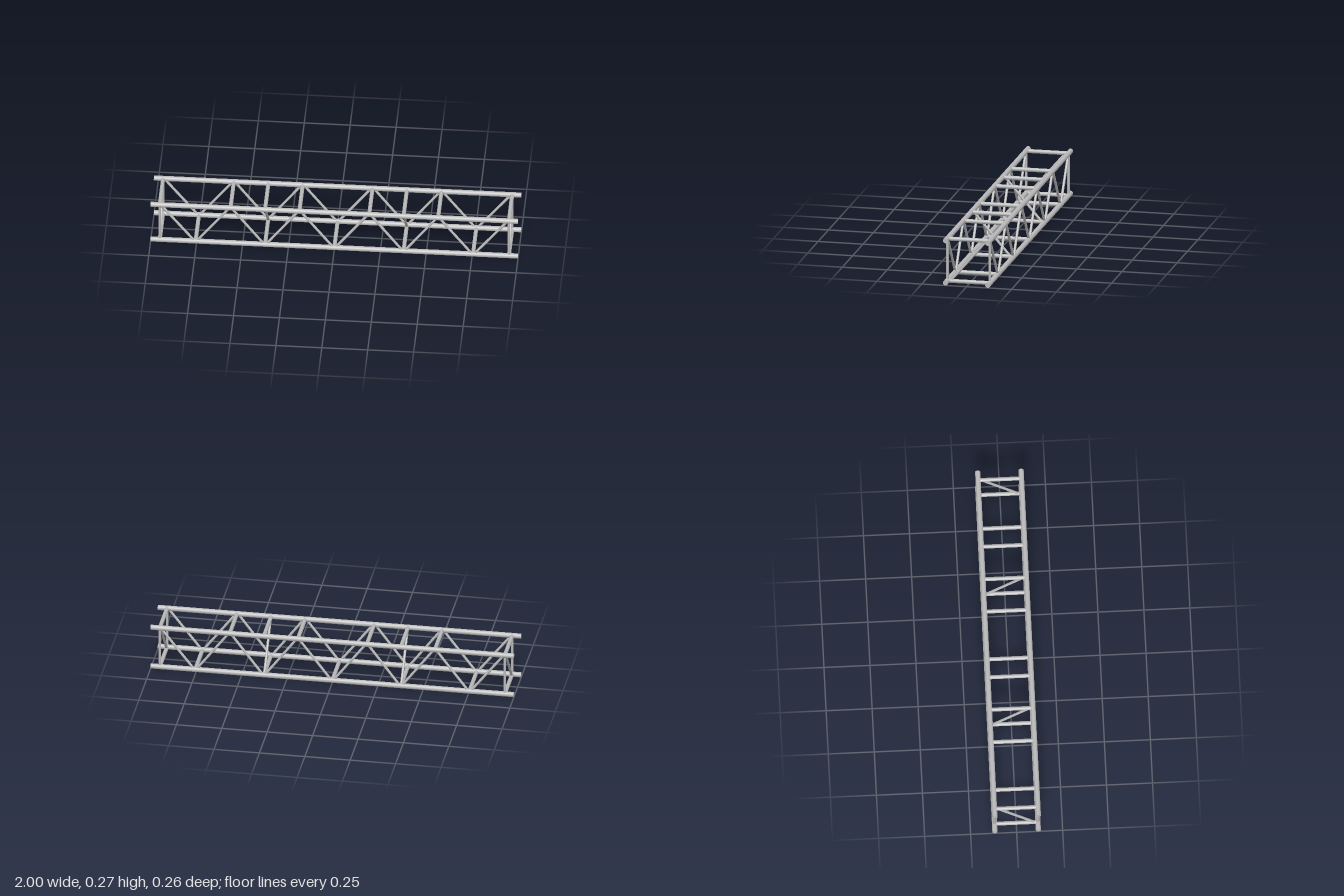
import * as THREE from 'three';

const STEEL = new THREE.MeshStandardMaterial({ color: 0xbababa });
STEEL.name = 'light grey steel';

const CHORD_R = 0.0143, BAR_R = 0.0112, BRACE_R = 0.0072;
const LOW = 0.0145, HIGH = 0.251, SIDE = 0.118;

// Round tube running between two points
function tube(name, a, b, radius) {
  const from = new THREE.Vector3(...a), to = new THREE.Vector3(...b);
  const dir = to.clone().sub(from);
  const mesh = new THREE.Mesh(new THREE.CylinderGeometry(radius, radius, dir.length(), 24), STEEL);
  mesh.name = name;
  mesh.position.copy(from).add(to).multiplyScalar(0.5);
  mesh.quaternion.setFromUnitVectors(new THREE.Vector3(0, 1, 0), dir.normalize());
  return mesh;
}

export function createModel() {
  const truss = new THREE.Group();
  truss.name = 'boxTruss';
  const nodes = [-0.95, -0.755, -0.565, -0.377, -0.19, 0, 0.19, 0.377, 0.565, 0.755, 0.95];
  const last = nodes.length - 1;

  for (const z of [-SIDE, SIDE]) {
    // Long chords
    for (const y of [LOW, HIGH]) truss.add(tube('chord', [-1, y, z], [1, y, z], CHORD_R));
    // End posts
    for (const x of [nodes[0], nodes[last]]) truss.add(tube('endPost', [x, LOW, z], [x, HIGH, z], BRACE_R));
    // Zigzag side braces, high on even nodes and low on odd ones
    for (let i = 0; i < last; i++) {
      const y0 = i % 2 ? LOW : HIGH, y1 = i % 2 ? HIGH : LOW;
      truss.add(tube('sideBrace', [nodes[i] + 0.005, y0, z], [nodes[i + 1] - 0.005, y1, z], BRACE_R));
    }
  }

  nodes.forEach((x, i) => {
    const end = i === 0 || i === last;
    const inner = i === 3 || i === 7;
    // Crossbars at the zigzag nodes; braced frames have both
    if (i % 2 === 0 || inner) truss.add(tube('topCrossbar', [x, HIGH, -SIDE], [x, HIGH, SIDE], BAR_R));
    if (i % 2 === 1 || i === 5 || end) truss.add(tube('bottomCrossbar', [x, LOW, -SIDE], [x, LOW, SIDE], BAR_R));
    // Diagonals across the section, leaning opposite ways at the ends and inside
    if (end || inner) {
      const z = end ? 0.101 : -0.101;
      truss.add(tube('frameDiagonal', [x, LOW, z], [x, HIGH, -z], BRACE_R));
    }
  });
  return truss;
}
